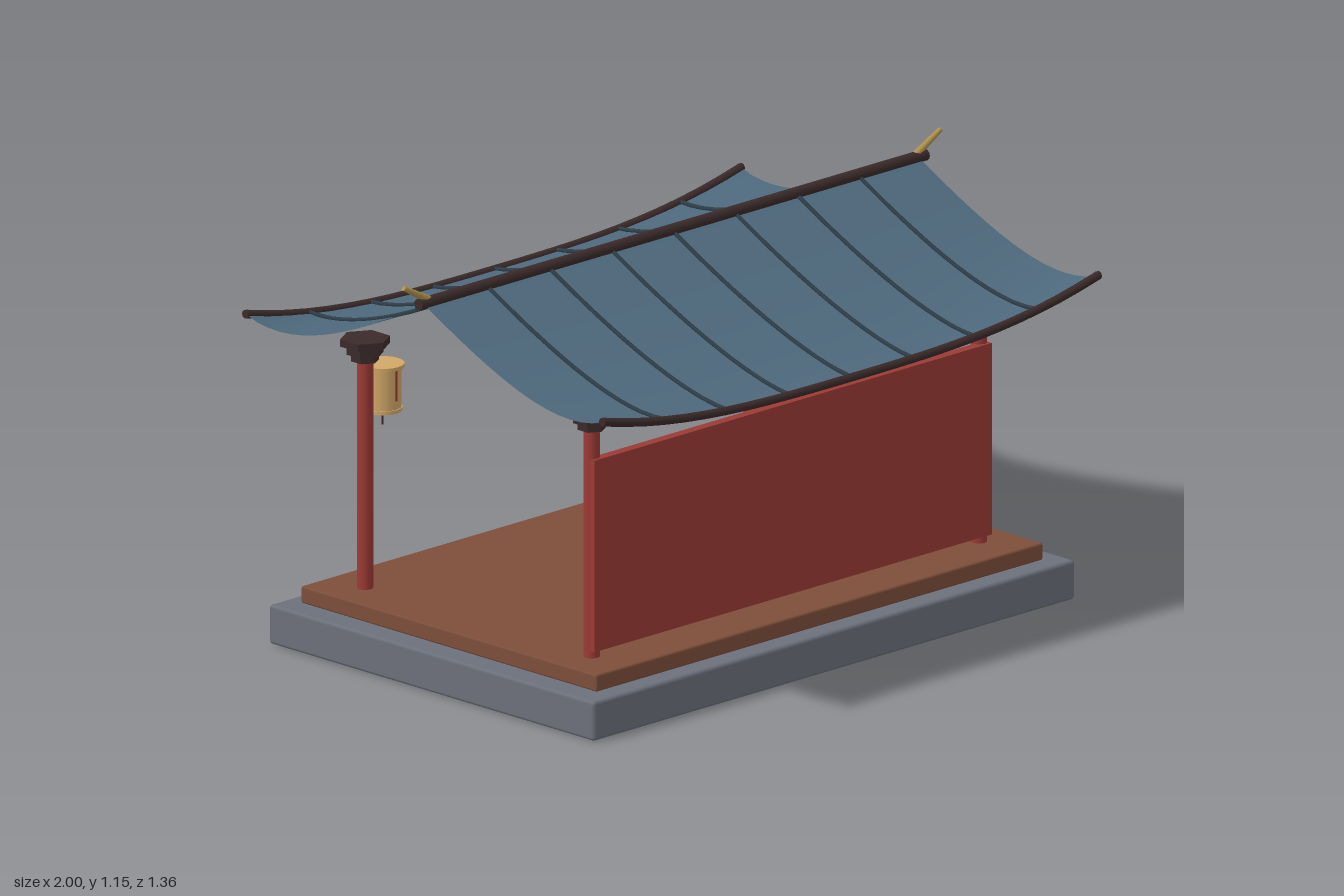
import * as THREE from 'three';
import { RoundedBoxGeometry } from 'three/addons/geometries/RoundedBoxGeometry.js';
import { ParametricGeometry } from 'three/addons/geometries/ParametricGeometry.js';

function paint(name, color, side = THREE.FrontSide) {
  const m = new THREE.MeshStandardMaterial({ color, side });
  m.name = name;
  return m;
}

// Roof height: a concave slope whose eaves curl up towards the ends
const HALF_X = 0.92, HALF_Z = 0.67;
function roofY(x, t) {
  const lift = 0.08 * Math.abs(x / HALF_X) ** 3 * t ** 4;
  return 0.825 + 0.255 * (1 - t) ** 1.4 + lift;
}

export function createModel() {
  const model = new THREE.Group();
  model.name = 'pavilion';

  const stone = paint('stone grey', 0x6c707b);
  const wood = paint('deck brown', 0x7d4e3a);
  const red = paint('lacquer red', 0x9c3a35);
  const dark = paint('dark timber', 0x3b2a2a);
  const tile = paint('roof blue', 0x4e697d, THREE.DoubleSide);
  const seam = paint('seam blue', 0x2e3d48);
  const gold = paint('gold', 0xb0924a);
  const paper = paint('lantern tan', 0xd2a868);

  function add(name, geometry, material, x = 0, y = 0, z = 0, parent = model) {
    const mesh = new THREE.Mesh(geometry, material);
    mesh.name = name;
    mesh.position.set(x, y, z);
    parent.add(mesh);
    return mesh;
  }
  const cyl = (rTop, rBottom, h, n = 20) => new THREE.CylinderGeometry(rTop, rBottom, h, n);

  // Platform
  add('stoneBase', new RoundedBoxGeometry(1.79, 0.11, 1.22, 1, 0.01), stone, 0, 0.055, 0);
  add('deck', new RoundedBoxGeometry(1.66, 0.048, 1.11, 1, 0.006), wood, 0, 0.135, 0);

  // Posts with stepped hexagonal capitals
  const tiers = [[0.038, 0.02, 0.798], [0.05, 0.024, 0.819], [0.068, 0.02, 0.841]];
  for (const x of [-0.72, 0.72]) {
    for (const z of [-0.425, 0.425]) {
      add('post', cyl(0.022, 0.022, 0.65), red, x, 0.475, z);
      for (const [r, h, y] of tiers) {
        const step = cyl(r, r, h, 6).toNonIndexed();
        step.computeVertexNormals();
        add('capitalTier', step, dark, x, y, z);
      }
    }
  }

  // Wall panel with gilded bars on its inner face
  add('wallPanel', new THREE.BoxGeometry(1.476, 0.53, 0.028), red, 0, 0.445, 0.441);
  for (const x of [-0.57, -0.45, 0.45, 0.57]) {
    add('wallBar', new THREE.BoxGeometry(0.02, 0.43, 0.01), gold, x, 0.46, 0.424);
  }

  // Drum lying on its side
  const drum = new THREE.Group();
  drum.name = 'drum';
  drum.position.set(0, 0.28, 0.1);
  drum.rotation.x = Math.PI / 2;
  model.add(drum);
  add('drumBody', cyl(0.117, 0.117, 0.14, 32), red, 0, 0, 0, drum);
  for (const side of [-1, 1]) {
    add('drumHead', cyl(0.122, 0.122, 0.01, 32), gold, 0, side * 0.071, 0, drum);
  }

  // Hanging lanterns along the open side
  for (const x of [-0.605, 0, 0.605]) {
    const lantern = new THREE.Group();
    lantern.name = 'lantern';
    lantern.position.set(x, 0.68, -0.475);
    model.add(lantern);
    add('lanternBody', cyl(0.05, 0.05, 0.12), paper, 0, 0, 0, lantern);
    add('lanternTopRim', cyl(0.058, 0.058, 0.01), paper, 0, 0.06, 0, lantern);
    add('lanternBottomRim', cyl(0.053, 0.053, 0.01), paper, 0, -0.06, 0, lantern);
    add('tassel', cyl(0.003, 0.003, 0.045, 6), dark, 0, -0.083, 0, lantern);
    for (let i = 0; i < 4; i++) {
      const a = i * Math.PI / 2;
      const strip = add('lanternStrip', new THREE.BoxGeometry(0.007, 0.085, 0.006), red,
        Math.sin(a) * 0.05, 0.012, Math.cos(a) * 0.05, lantern);
      strip.rotation.y = a;
    }
  }

  // Roof slopes with raised seams and an eave beam
  for (const side of [-1, 1]) {
    const slope = new ParametricGeometry((u, v, p) => {
      const x = (u * 2 - 1) * HALF_X * -side;
      p.set(x, roofY(x, v), side * v * HALF_Z);
    }, 24, 16);
    add('roofSlope', slope, tile);

    for (let i = -3; i <= 3; i++) {
      const x = i * 0.23, points = [];
      for (let k = 0; k <= 10; k++) {
        const t = k / 10;
        points.push(new THREE.Vector3(x, roofY(x, t) + 0.003, side * t * HALF_Z));
      }
      const path = new THREE.CatmullRomCurve3(points);
      add('roofSeam', new THREE.TubeGeometry(path, 16, 0.006, 6), seam);
    }

    const eave = [];
    for (let k = -8; k <= 8; k++) {
      const x = k / 8 * HALF_X;
      eave.push(new THREE.Vector3(x, roofY(x, 1), side * HALF_Z));
    }
    add('eaveBeam', new THREE.TubeGeometry(new THREE.CatmullRomCurve3(eave), 24, 0.012, 8), dark);
    for (const end of [-1, 1]) {
      const cap = add('eaveCap', cyl(0.012, 0.012, 0.006, 8), dark,
        end * HALF_X, roofY(HALF_X, 1), side * HALF_Z);
      cap.rotation.z = Math.PI / 2;
    }
  }

  // Ridge beam and upturned finials
  const ridge = add('ridgeBeam', cyl(0.016, 0.016, 1.885, 12), dark, 0, 1.085, 0);
  ridge.rotation.z = Math.PI / 2;
  for (const side of [-1, 1]) {
    const finial = add('finial', cyl(0.007, 0.011, 0.115, 8), gold, side * 0.947, 1.115, 0);
    finial.rotation.z = -side * 1.07;
  }
  return model;
}
